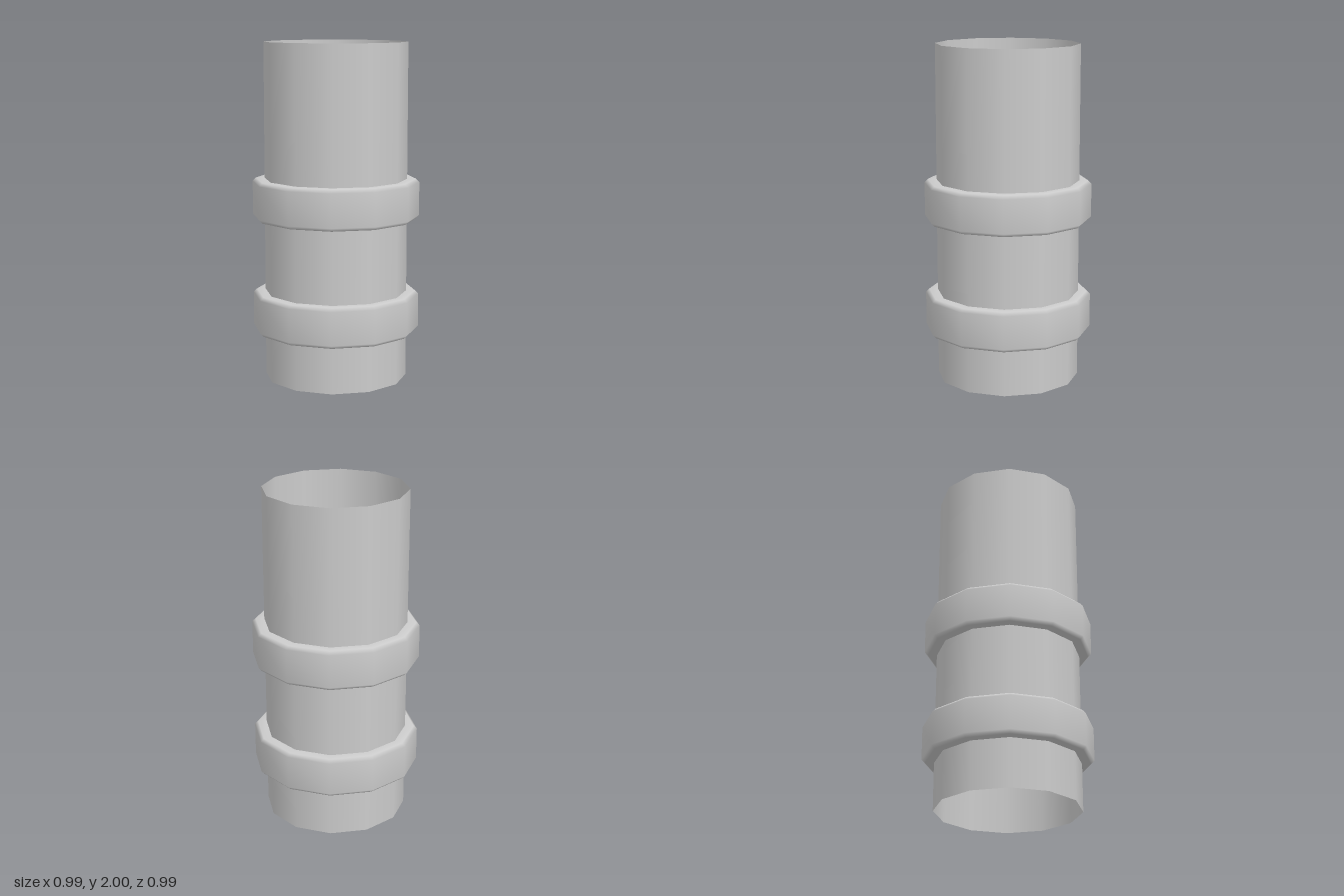
import * as THREE from 'three';

const SIDES = 12;
const PIPE_RADIUS = 0.423;
const RING_RADIUS = 0.495;
const BEVEL = 0.02;

export function createModel() {
  const model = new THREE.Group();
  model.name = 'pipe';
  const material = new THREE.MeshStandardMaterial({ color: 0xcccccc, side: THREE.DoubleSide });

  // Thin open pipe wall
  const wall = new THREE.Mesh(
    new THREE.CylinderGeometry(PIPE_RADIUS, PIPE_RADIUS, 2, SIDES, 1, true), material);
  wall.name = 'pipeWall';
  wall.position.y = 1;
  model.add(wall);

  // Bevelled collars around the pipe, profile running from bottom to top
  const addCollar = (name, bottom, top) => {
    const profile = [
      [PIPE_RADIUS, bottom],
      [RING_RADIUS - BEVEL, bottom],
      [RING_RADIUS, bottom + BEVEL],
      [RING_RADIUS, top - BEVEL],
      [RING_RADIUS - BEVEL, top],
      [PIPE_RADIUS, top],
    ].map(([r, y]) => new THREE.Vector2(r, y));
    const collar = new THREE.Mesh(new THREE.LatheGeometry(profile, SIDES), material);
    collar.name = name;
    model.add(collar);
  };
  addCollar('lowerCollar', 0.285, 0.522);
  addCollar('upperCollar', 0.96, 1.197);

  return model;
}
